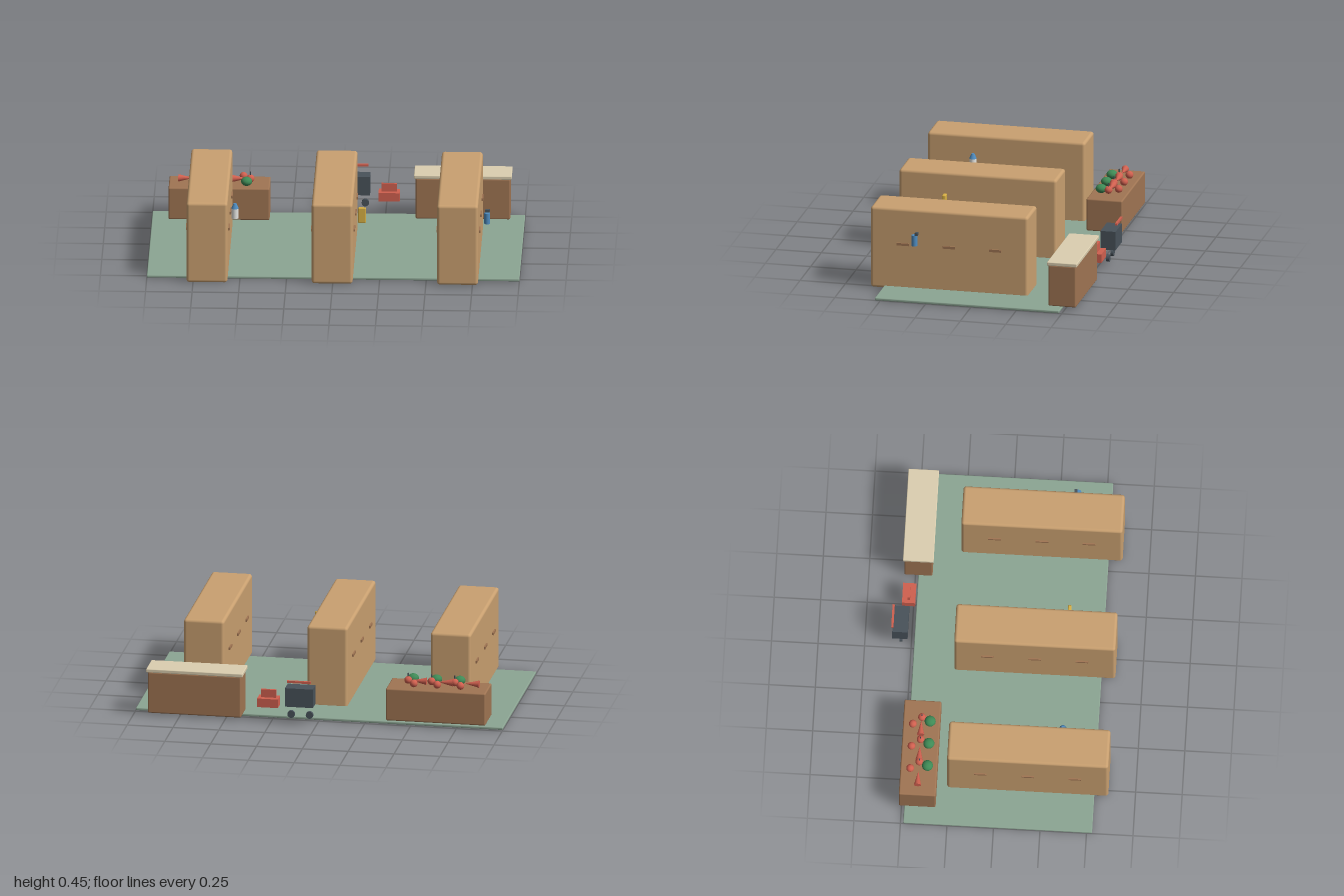
import * as THREE from 'three';
import { RoundedBoxGeometry } from 'three/addons/geometries/RoundedBoxGeometry.js';

const mat = (color) => new THREE.MeshStandardMaterial({ color });
const M = {
  floor: mat(0x8ca593), wood: mat(0xc9a070), brown: mat(0xa07553), cream: mat(0xdccfb0),
  dark: mat(0x48525a), red: mat(0xd0604f), green: mat(0x3f8a56), blue: mat(0x4f8cc0),
  yellow: mat(0xd8b045), white: mat(0xe6e6e2),
};

export function createModel() {
  const model = new THREE.Group();
  model.name = 'shop';

  const add = (name, geometry, material, x, y, z, parent = model) => {
    const mesh = new THREE.Mesh(geometry, material);
    mesh.name = name;
    mesh.position.set(x, y, z);
    parent.add(mesh);
    return mesh;
  };
  // Box given by its extents, with optional rounded edges
  const box = (name, material, [x0, x1], [y0, y1], [z0, z1], r = 0, parent = model) => {
    const size = [x1 - x0, y1 - y0, z1 - z0];
    const geometry = r ? new RoundedBoxGeometry(...size, 3, r) : new THREE.BoxGeometry(...size);
    return add(name, geometry, material, (x0 + x1) / 2, (y0 + y1) / 2, (z0 + z1) / 2, parent);
  };
  const group = (name) => {
    const g = new THREE.Group();
    g.name = name;
    model.add(g);
    return g;
  };

  box('floor', M.floor, [-1, 1], [0, 0.015], [-0.485, 0.53], 0.005);

  // Three aisle shelves with rails showing on both sides
  for (const x of [-0.675, -0.003, 0.67]) {
    const shelf = group('shelf');
    box('shelfBody', M.wood, [x - 0.11, x + 0.11], [0.001, 0.455], [-0.262, 0.605], 0.016, shelf);
    for (const z of [0.425, 0.172, -0.083]) {
      box('shelfRail', M.brown, [x - 0.118, x + 0.118], [0.249, 0.263], [z - 0.034, z + 0.034], 0, shelf);
    }
  }

  // Goods beside the shelves
  const milk = group('milkBottle');
  add('milkBody', new THREE.CylinderGeometry(0.019, 0.019, 0.056, 20), M.white, -0.532, 0.308, 0.347, milk);
  add('milkTop', new THREE.CylinderGeometry(0.008, 0.02, 0.027, 20), M.blue, -0.532, 0.349, 0.347, milk);

  box('cerealBox', M.yellow, [0.129, 0.171], [0.26, 0.346], [0.335, 0.354], 0.005);

  const spray = group('sprayBottle');
  add('sprayBody', new THREE.CylinderGeometry(0.016, 0.016, 0.06, 20), M.blue, 0.822, 0.296, 0.353, spray);
  box('sprayNozzle', M.dark, [0.811, 0.835], [0.326, 0.341], [0.332, 0.348], 0, spray);

  // Produce stand with three repeating sets of fruit and vegetables
  const stand = group('produceStand');
  box('standBody', M.brown, [-0.91, -0.367], [0.028, 0.208], [-0.514, -0.316], 0.008, stand);
  const ball = new THREE.SphereGeometry(0.021, 20, 14);
  const cabbage = new THREE.SphereGeometry(0.03, 20, 14).scale(1, 0.8, 1);
  const carrot = new THREE.ConeGeometry(0.02, 0.08, 16).rotateZ(-Math.PI / 2);
  const stem = new THREE.CylinderGeometry(0.003, 0.003, 0.02, 8);
  for (let i = 0; i < 3; i++) {
    const x = i * 0.127;
    add('tomato', ball, M.red, x - 0.765, 0.229, -0.461, stand);
    add('apple', ball, M.red, x - 0.726, 0.232, -0.414, stand);
    add('appleStem', stem, M.dark, x - 0.726, 0.261, -0.414, stand);
    add('cabbage', cabbage, M.green, x - 0.746, 0.231, -0.369, stand);
    add('carrot', carrot, M.red, -0.82 + i * 0.144, 0.23, -0.416, stand);
  }

  // Checkout counter
  const counter = group('checkoutCounter');
  box('counterBody', M.brown, [0.414, 0.922], [0.013, 0.243], [-0.56, -0.408], 0.008, counter);
  box('counterTop', M.cream, [0.405, 0.93], [0.242, 0.262], [-0.567, -0.402], 0.004, counter);

  // Cart
  const cart = group('cart');
  box('cartBasket', M.dark, [0.014, 0.166], [0.104, 0.208], [-0.602, -0.519], 0, cart);
  box('cartHandle', M.red, [0.025, 0.155], [0.24, 0.252], [-0.608, -0.596], 0, cart);
  const wheel = new THREE.CylinderGeometry(0.02, 0.02, 0.016, 20).rotateX(Math.PI / 2);
  for (const x of [0.04, 0.14]) add('cartWheel', wheel, M.dark, x, 0.05, -0.556, cart);

  // Hand basket
  const basket = group('handBasket');
  box('basketBody', M.red, [0.212, 0.326], [0.08, 0.128], [-0.561, -0.49], 0, basket);
  box('basketHandle', M.red, [0.228, 0.31], [0.128, 0.172], [-0.532, -0.518], 0, basket);

  return model;
}
